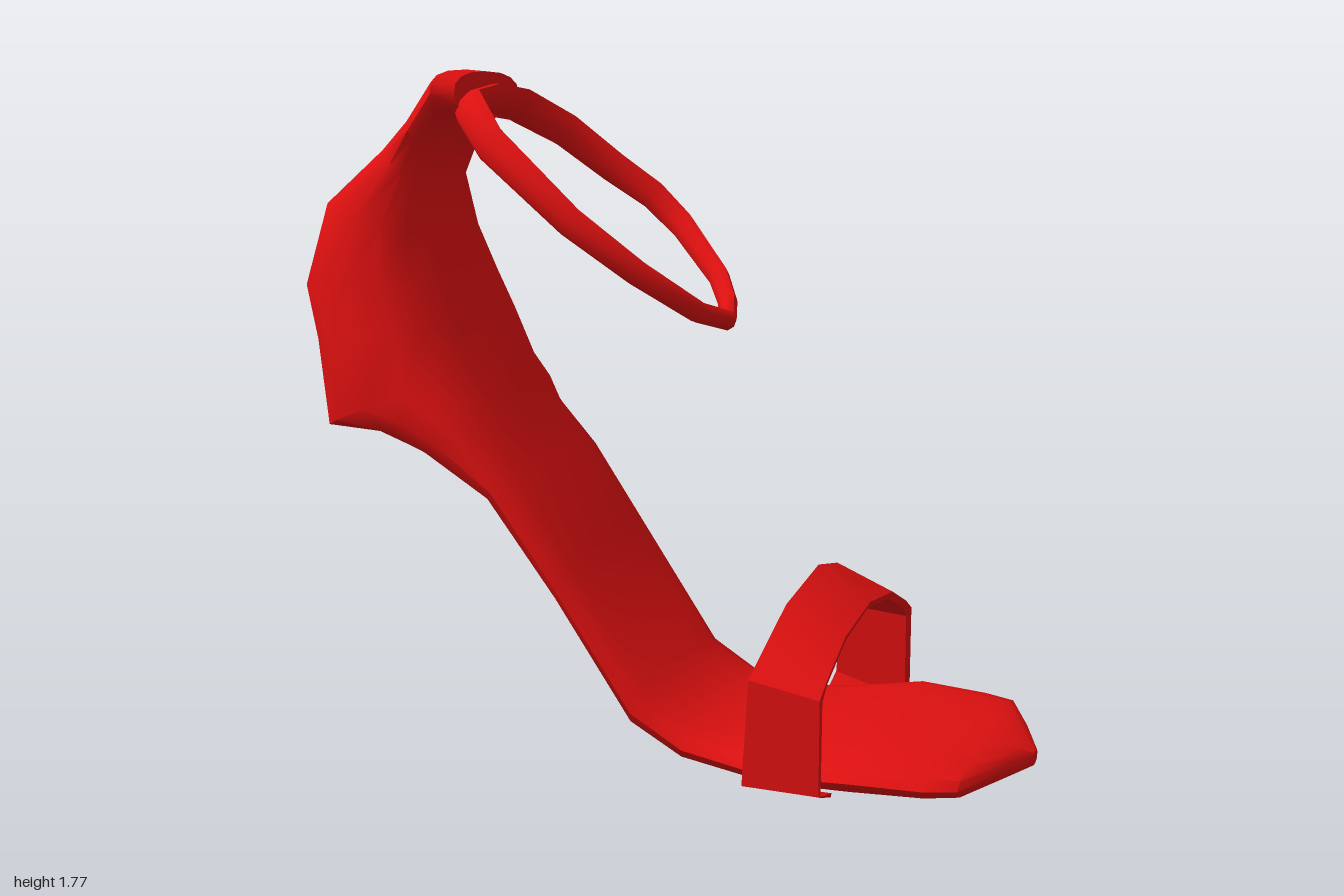
import * as THREE from 'three';
import { toCreasedNormals } from 'three/addons/utils/BufferGeometryUtils.js';

const V = (x, y, z) => new THREE.Vector3(x, y, z);
const red = new THREE.MeshStandardMaterial({ color: 0xdd1010, side: THREE.DoubleSide });

// Skins a row of equal-sized closed cross-sections; a loop joins last to first, else the ends are capped.
function loft(name, sections, loop, crease) {
  const n = sections[0].length, m = sections.length;
  const points = sections.flat();
  const index = [];
  for (let i = 0; i < (loop ? m : m - 1); i++) {
    for (let j = 0; j < n; j++) {
      const a = i * n + j, b = i * n + (j + 1) % n;
      const c = ((i + 1) % m) * n + j, d = ((i + 1) % m) * n + (j + 1) % n;
      index.push(a, b, c, b, d, c);
    }
  }
  if (!loop) {
    for (let j = 1; j < n - 1; j++) {
      const e = (m - 1) * n;
      index.push(0, j + 1, j, e, e + j, e + j + 1);
    }
  }
  // Turn all faces outward
  let volume = 0;
  for (let i = 0; i < index.length; i += 3) {
    const [a, b, c] = [0, 1, 2].map((k) => points[index[i + k]]);
    volume += a.dot(b.clone().cross(c));
  }
  if (volume < 0) index.reverse();
  let geometry = new THREE.BufferGeometry().setFromPoints(points);
  geometry.setIndex(index);
  if (crease) geometry = toCreasedNormals(geometry, crease);
  else geometry.computeVertexNormals();
  const mesh = new THREE.Mesh(geometry, red);
  mesh.name = name;
  return mesh;
}

// Sole and heel counter: upper x, y, lower x, y, half width, z offset, from toe to ankle
function soleAndHeel() {
  const rows = [
    [1, 0.09, 1, 0.055, 0.03, 0],
    [0.95, 0.12, 0.95, 0.045, 0.16, 0],
    [0.88, 0.13, 0.88, 0.04, 0.335, 0],
    [0.8, 0.135, 0.8, 0.033, 0.365, 0],
    [0.62, 0.145, 0.62, 0.025, 0.385, 0],
    [0.45, 0.115, 0.45, 0.015, 0.36, 0],
    [0.33, 0.11, 0.33, 0.01, 0.325, 0],
    [0.18, 0.13, 0.15, 0.03, 0.31, 0],
    [0.04, 0.22, 0.01, 0.1, 0.31, 0],
    [-0.17, 0.53, -0.2, 0.4, 0.31, 0],
    [-0.32, 0.75, -0.4, 0.66, 0.32, 0],
    [-0.41, 0.87, -0.6, 0.77, 0.34, 0],
    [-0.44, 0.93, -0.75, 0.82, 0.365, -0.01],
    [-0.48, 1.0, -0.92, 0.82, 0.375, -0.015],
    [-0.53, 1.12, -0.96, 1.06, 0.345, -0.015],
    [-0.57, 1.22, -1, 1.21, 0.32, -0.01],
    [-0.62, 1.34, -0.93, 1.44, 0.27, 0],
    [-0.65, 1.48, -0.77, 1.58, 0.19, 0],
    [-0.65, 1.57, -0.69, 1.67, 0.2, -0.04],
    [-0.59, 1.65, -0.61, 1.78, 0.22, -0.06],
    [-0.54, 1.65, -0.55, 1.775, 0.19, -0.06],
  ];
  const soften = (v) => Math.sign(v) * Math.abs(v) ** 0.8;
  const sections = rows.map(([ax, ay, bx, by, w, cz]) =>
    Array.from({ length: 16 }, (_, j) => {
      const t = (j / 16) * Math.PI * 2;
      const k = 0.5 - 0.5 * soften(Math.cos(t));
      return V(ax + (bx - ax) * k, ay + (by - ay) * k, cz + w * soften(Math.sin(t)));
    }));
  return loft('soleAndHeelCounter', sections, false, 0.9);
}

// Sloping ring around the ankle, thicker where it meets the heel counter
function ankleStrap() {
  const path = [
    [0.17, 0], [0.13, 0.11], [0, 0.2], [-0.16, 0.25], [-0.4, 0.21], [-0.52, 0.1], [-0.54, -0.06],
    [-0.52, -0.2], [-0.43, -0.31], [-0.3, -0.345], [-0.2, -0.395], [-0.1, -0.365], [0.06, -0.23], [0.13, -0.11],
  ];
  const normal = V(0.62, 0.785, 0);
  const at = ([x, z]) => V(x, 1.14 - 0.79 * (x - 0.17), z);
  const centre = at([-0.19, -0.07]);
  const sections = path.map((p) => {
    const c = at(p), out = c.clone().sub(centre).normalize();
    const high = 0.028 + 0.025 * Math.min(1, (0.17 - p[0]) / 0.7);
    return Array.from({ length: 8 }, (_, j) => {
      const t = (j / 8) * Math.PI * 2;
      return c.clone().addScaledVector(out, 0.025 * Math.cos(t)).addScaledVector(normal, high * Math.sin(t));
    });
  });
  return loft('ankleStrap', sections, true, 0.9);
}

// Band over the toes: z, back outer y, front outer y, back inner y, inner z, back x
function toeStrap() {
  const half = [
    [0.32, 0.03, 0.03, 0.07, 0.31, 0.37],
    [0.43, 0.06, 0.06, 0.1, 0.395, 0.37],
    [0.43, 0.33, 0.3, 0.3, 0.392, 0.385],
    [0.37, 0.375, 0.335, 0.335, 0.35, 0.395],
    [0.22, 0.465, 0.4, 0.41, 0.2, 0.41],
  ];
  const middle = [0, 0.515, 0.43, 0.45, 0, 0.425];
  const mirrored = half.map(([z, a, b, c, iz, x]) => [-z, a, b, c, -iz, x]).reverse();
  const sections = [...half, middle, ...mirrored].map(([z, back, front, inner, iz, x]) => [
    V(x, back, z), V(0.565, front, z),
    V(0.56, Math.min(inner, front) - 0.015, iz), V(x - 0.01, inner, iz),
  ]);
  return loft('toeStrap', sections, false, 0.8);
}

export function createModel() {
  const sandal = new THREE.Group();
  sandal.name = 'sandal';
  sandal.add(soleAndHeel(), ankleStrap(), toeStrap());
  return sandal;
}
